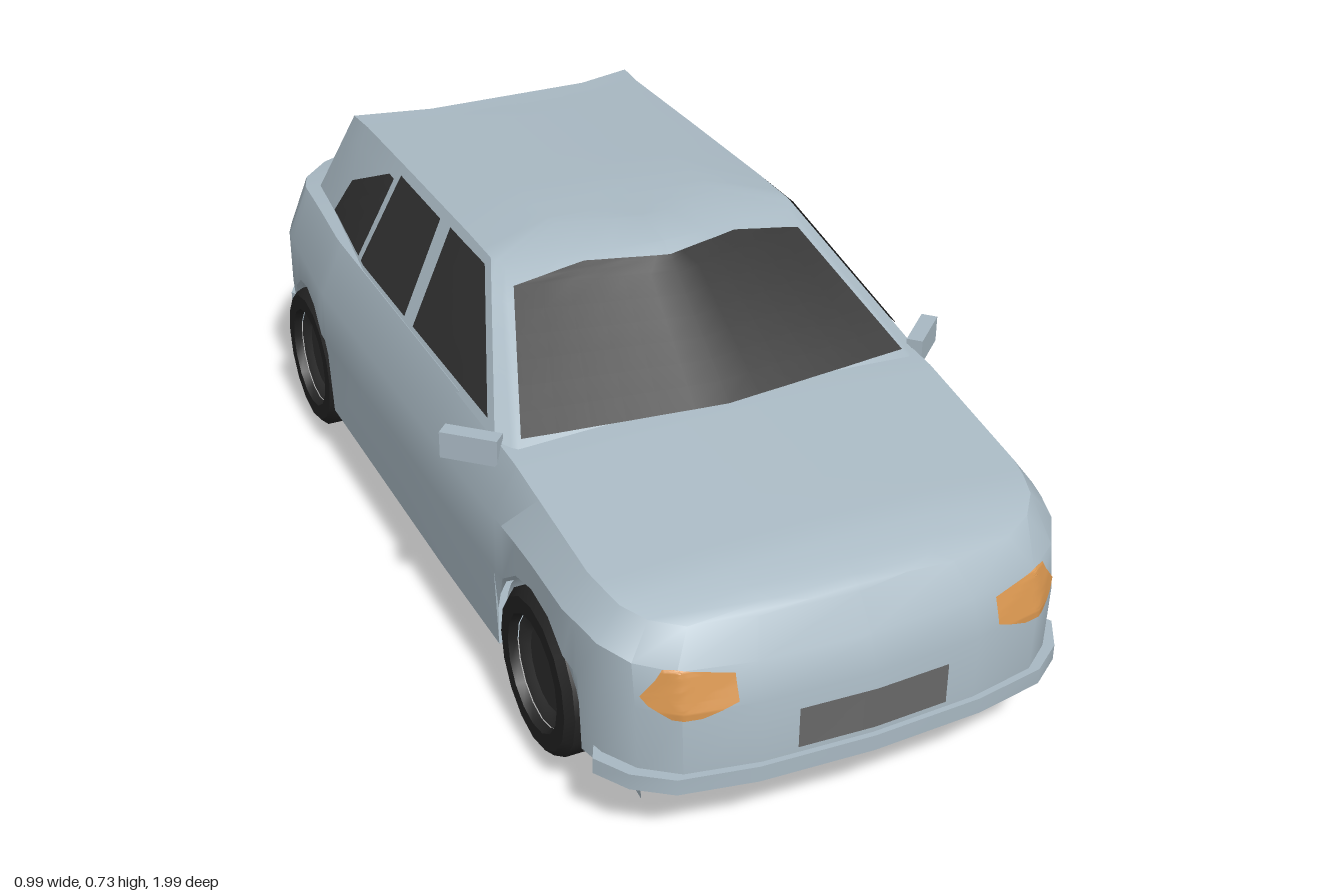
import * as THREE from 'three';
import { toCreasedNormals } from 'three/addons/utils/BufferGeometryUtils.js';

const paint = (name, color, side = THREE.DoubleSide) =>
  Object.assign(new THREE.MeshStandardMaterial({ color, side }), { name });
const lerp = THREE.MathUtils.lerp;

// Piecewise linear curve through [z, value] keys, z descending
function track(keys, z) {
  if (z >= keys[0][0]) return keys[0][1];
  for (let i = 1; i < keys.length; i++) {
    const [za, a] = keys[i - 1], [zb, b] = keys[i];
    if (z >= zb) return lerp(a, b, (za - z) / (za - zb));
  }
  return keys[keys.length - 1][1];
}

// Skin over rows of points; columns run left to right, rows upwards
function surface(rows, crease = 0.55) {
  const n = rows[0].length, index = [];
  for (let j = 0; j < rows.length - 1; j++) {
    for (let i = 0; i < n - 1; i++) {
      const a = j * n + i, b = a + 1, c = b + n, d = a + n;
      index.push(a, b, c, a, c, d);
    }
  }
  const geo = new THREE.BufferGeometry();
  geo.setAttribute('position', new THREE.Float32BufferAttribute(rows.flat(2), 3));
  geo.setIndex(index);
  return toCreasedNormals(geo, crease);
}

// Half loop (front centre to rear centre on +x) completed by its mirror image
const loop = half => [...half, ...half.slice(0, -1).reverse().map(([x, y, z]) => [-x, y, z])];

// Thin plate laid on a target: rows of [y, start, end] are projected along x or z
function drape(target, keys, axis, sign, lift = 0.006, cols = 12, steps = 6) {
  const ray = new THREE.Raycaster(), rows = [];
  const dir = axis === 'x' ? new THREE.Vector3(-sign, 0, 0) : new THREE.Vector3(0, 0, -sign);
  let depth = 0.4;
  for (let k = 0; k < keys.length - 1; k++) {
    for (let s = k ? 1 : 0; s <= steps; s++) {
      const [y, a, b] = keys[k].map((v, m) => lerp(v, keys[k + 1][m], s / steps));
      const row = [];
      for (let i = 0; i <= cols; i++) {
        const u = lerp(a, b, i / cols);
        ray.set(axis === 'x' ? new THREE.Vector3(3 * sign, y, u) : new THREE.Vector3(u, y, 3 * sign), dir);
        const hit = ray.intersectObject(target)[0];
        if (hit) depth = Math.abs(hit.point[axis]);
        const d = sign * (depth + lift);
        row.push(axis === 'x' ? [d, y, u] : [u, y, d]);
      }
      // Keep the columns left to right as seen from outside
      rows.push((axis === 'x') === (sign > 0) === (b < a) ? row : row.reverse());
    }
  }
  if (axis === 'z' && (sign > 0) === (rows[0][0][0] > rows[0][cols][0])) rows.forEach(r => r.reverse());
  if (axis === 'x' && (sign > 0) === (rows[0][0][2] < rows[0][cols][2])) rows.forEach(r => r.reverse());
  return surface(rows);
}

export function createModel() {
  const car = new THREE.Group();
  car.name = 'car';
  const body = paint('body paint', 0xa8b8c2), glass = paint('dark glass', 0x303030);
  const rubber = paint('tyre rubber', 0x222222, THREE.FrontSide), hubGrey = paint('hub grey', 0x2e2e2e, THREE.FrontSide);
  const amber = paint('headlight amber', 0xd6944e), red = paint('tail light red', 0xd44646);
  const plateGrey = paint('plate grey', 0x686868);
  const add = (name, geo, mat) => {
    const mesh = new THREE.Mesh(geo, mat);
    mesh.name = name;
    car.add(mesh);
    return mesh;
  };

  // Plan outline of the lower body, with stations around the wheel arches
  const arches = [{ z: 0.625, r: 0.16 }, { z: -0.58, r: 0.155 }];
  const width = [[0.84, 0.425], [0.75, 0.445], [0.3, 0.455], [-0.45, 0.455], [-0.73, 0.43], [-0.78, 0.41]];
  const archZ = a => [1, 0.985, 0.92, 0.75, 0.4, 0, -0.4, -0.75, -0.92, -0.985, -1].map(k => a.z + a.r * k);
  const outline = [
    [0, 0.98], [0.2, 0.97], [0.33, 0.945], [0.39, 0.9], [0.425, 0.84],
    ...[...archZ(arches[0]), 0.2, 0, -0.2, ...archZ(arches[1])].map(z => [track(width, z), z]),
    [0.41, -0.78], [0.34, -0.9], [0.26, -0.965], [0.14, -0.99], [0, -1],
  ];
  const baseY = z => track([[-0.43, 0.14], [-0.73, 0.19], [-1, 0.235]], z);
  const bottomY = z => {
    for (const a of arches) {
      const d = Math.abs(z - a.z) / a.r;
      if (d < 0.99) return 0.19 + a.r * Math.sqrt(1 - d * d);
    }
    return baseY(z);
  };

  // Lower body: levels from sill to shoulder, each with its own nose and tail reach
  const levels = [
    { sx: 0.985, front: 0.98, rear: -0.995, y: bottomY },
    { sx: 1, front: 0.98, rear: -1, y: z => Math.max(bottomY(z) + 0.008, track([[0.98, 0.29], [0.5, 0.3], [-0.7, 0.3], [-1, 0.28]], z)) },
    { sx: 1, front: 0.955, rear: -0.968, y: z => track([[0.98, 0.35], [0.8, 0.39], [0.6, 0.41], [-0.75, 0.41], [-1, 0.38]], z) },
    { sx: 0.9, front: 0.914, rear: -0.91, y: z => track([[0.98, 0.405], [0.8, 0.445], [0.46, 0.497], [0.2, 0.51], [-0.6, 0.513], [-1, 0.5]], z) },
  ];
  const reach = (z, l) => z > 0.8 ? 0.8 + (z - 0.8) * (l.front - 0.8) / 0.18
    : z < -0.78 ? -0.78 + (z + 0.78) * (l.rear + 0.78) / -0.22 : z;
  const halves = levels.map(l => outline.map(([x, z]) => [x * l.sx, l.y(z), reach(z, l)]));
  const shoulder = halves[3];
  halves.push(shoulder.map(([x, y, z]) => [x * 0.5, y + 0.03 * x, z]));
  halves.push(shoulder.map(([x, y, z]) => [0, y + 0.038 * x, z]));
  const shell = add('lowerBody', surface(halves.map(loop)), body);

  // Floor with cut-outs for the wheels
  const floor = [
    [0.978, 0.14, 0.19], [0.945, 0.14, 0.33], [0.87, 0.14, 0.4], [0.79, 0.14, 0.43], [0.785, 0.14, 0.33],
    [0.468, 0.14, 0.33], [0.464, 0.14, 0.445], [-0.424, 0.14, 0.445], [-0.428, 0.14, 0.33],
    [-0.732, 0.19, 0.33], [-0.738, 0.19, 0.42], [-0.88, 0.215, 0.35], [-0.955, 0.228, 0.26], [-0.995, 0.235, 0],
  ];
  add('floor', surface(floor.map(([z, y, w]) => [[w, y, z], [-w, y, z]])), body);

  // Bumper lips at the nose and tail
  const lip = (pts, height) => [[0.97, 0], [1.015, 0], [1.015, height], [0.97, height]].map(([k, dy]) =>
    pts.map(([x, z]) => [x * (k + 0.02), baseY(z) + dy, z * (k - 0.005)]));
  const nose = outline.filter(([, z]) => z > 0.785), tail = outline.filter(([, z]) => z < -0.77);
  const flip = pts => pts.map(([x, z]) => [-x, z]).reverse();
  add('frontBumper', surface(lip([...flip(nose).slice(0, -1), ...nose], 0.03)), body);
  add('rearBumper', surface(lip([...tail, ...flip(tail).slice(1)], 0.04).map(r =>
    r.map(([x, y, z]) => [x * 0.99, y, Math.max(z, -1)]))), body);

  // Cabin: pairs of base and roof-edge points, front centre to rear centre
  const pillars = [
    [[0, 0.505, 0.46], [0, 0.71, 0.195]], [[0.385, 0.498, 0.43], [0.285, 0.69, 0.14]],
    [[0.412, 0.503, 0.39], [0.3, 0.7, 0.11]], [[0.412, 0.505, 0], [0.3, 0.702, 0]],
    [[0.412, 0.505, -0.3], [0.3, 0.7, -0.3]], [[0.378, 0.505, -0.57], [0.3, 0.697, -0.55]],
    [[0.36, 0.505, -0.72], [0.305, 0.697, -0.62]], [[0.2, 0.51, -0.775], [0.18, 0.71, -0.55]],
    [[0, 0.51, -0.785], [0, 0.713, -0.55]],
  ];
  const mix = (a, b, t) => a.map((v, k) => lerp(v, b[k], t));
  const fine = [];
  pillars.slice(0, -1).forEach((p, i) => [0, 1 / 3, 2 / 3].forEach(t =>
    fine.push([mix(p[0], pillars[i + 1][0], t), mix(p[1], pillars[i + 1][1], t)])));
  fine.push(pillars[pillars.length - 1]);
  const cabinRows = [0, 0.2, 0.4, 0.6, 0.8, 1].map(t => fine.map(([b, r]) => mix(b, r, t)));
  for (const k of [0.55, 0]) {
    cabinRows.push(fine.map(([, [x, , z]]) => {
      const zi = -0.21 + (z + 0.21) * 0.8;
      return [x * k, track([[0.12, 0.721], [-0.05, 0.728], [-0.5, 0.719]], zi), zi];
    }));
  }
  const cabin = add('cabin', surface(cabinRows.map(loop)), body);

  // Glazing
  add('windshield', drape(cabin, [[0.512, -0.375, 0.375], [0.672, -0.285, 0.285], [0.695, -0.15, 0.15]], 'z', 1, 0.008), glass);
  add('rearWindow', drape(cabin, [[0.535, -0.338, 0.338], [0.675, -0.302, 0.302], [0.693, -0.295, 0.295]], 'z', -1, 0.008), glass);
  const sideWindows = {
    frontDoorWindow: [[0.523, 0.345, -0.02], [0.69, 0.11, -0.057]],
    rearDoorWindow: [[0.523, -0.065, -0.32], [0.687, -0.105, -0.32]],
    quarterWindow: [[0.523, -0.342, -0.565], [0.6, -0.342, -0.525], [0.672, -0.342, -0.37]],
  };
  const headlight = [[0.28, 0.3, 0.345], [0.3, 0.24, 0.375], [0.315, 0.24, 0.385], [0.345, 0.24, 0.362], [0.363, 0.335, 0.352]];
  const tailLight = [[0.385, 0.29, 0.36], [0.485, 0.272, 0.33]];

  const tyre = [[0.1, -0.052], [0.135, -0.052], [0.148, -0.038], [0.148, 0.038], [0.135, 0.052], [0.105, 0.052], [0.1, 0.036]];
  const hub = [[0.1, 0.034], [0.085, 0.03], [0.075, 0.022], [0, 0.022]];
  const lathe = pts => toCreasedNormals(new THREE.LatheGeometry(pts.map(p => new THREE.Vector2(...p)), 16), 0.5);

  for (const s of [1, -1]) {
    const side = s > 0 ? 'left' : 'right';
    for (const [name, rows] of Object.entries(sideWindows)) add(side + name, drape(cabin, rows, 'x', s), glass);
    const across = rows => rows.map(([y, a, b]) => [y, a * s, b * s]);
    add(side + 'Headlight', drape(shell, across(headlight), 'z', 1), amber);
    add(side + 'TailLight', drape(shell, across(tailLight), 'z', -1), red);

    // Door mirror
    const mirror = add(side + 'Mirror', new THREE.BoxGeometry(0.105, 0.05, 0.03), body);
    mirror.position.set(0.447 * s, 0.492, 0.37);
    mirror.rotation.y = 0.75 * s;

    // Wheels and their wells
    for (const a of arches) {
      const wheel = new THREE.Group();
      wheel.name = side + (a.z > 0 ? 'FrontWheel' : 'RearWheel');
      for (const [name, pts, mat] of [['tyre', tyre, rubber], ['hub', hub, hubGrey]]) {
        const mesh = new THREE.Mesh(lathe(pts), mat);
        mesh.name = name;
        wheel.add(mesh);
      }
      const back = new THREE.Mesh(new THREE.CylinderGeometry(0.1, 0.1, 0.06, 16), hubGrey);
      back.name = 'wheelBack';
      back.position.y = -0.018;
      wheel.add(back);
      wheel.position.set(0.398 * s, 0.187, a.z);
      wheel.rotation.z = -s * Math.PI / 2;
      car.add(wheel);

      const well = add('wheelWell', new THREE.CylinderGeometry(a.r, a.r, 0.1, 16, 1, true, 0, Math.PI).rotateZ(Math.PI / 2), body);
      well.position.set(0.38 * s, 0.19, a.z);
      const wall = add('wellWall', new THREE.BoxGeometry(0.004, 0.2, a.r * 2), body);
      wall.position.set(0.33 * s, 0.242, a.z);
    }
  }

  // Number plates
  add('frontPlate', drape(shell, [[0.185, -0.138, 0.138], [0.262, -0.138, 0.138]], 'z', 1), plateGrey);
  add('rearPlate', drape(shell, [[0.3, -0.14, 0.14], [0.385, -0.14, 0.14]], 'z', -1), plateGrey);

  // Loose splash flap inside the right front wheel
  add('splashFlap', surface([
    [[-0.33, 0.01, 0.8], [-0.316, 0, 0.62], [-0.302, 0.008, 0.45]],
    [[-0.333, 0.18, 0.785], [-0.32, 0.18, 0.62], [-0.306, 0.18, 0.475]],
  ]), body);
  return car;
}
